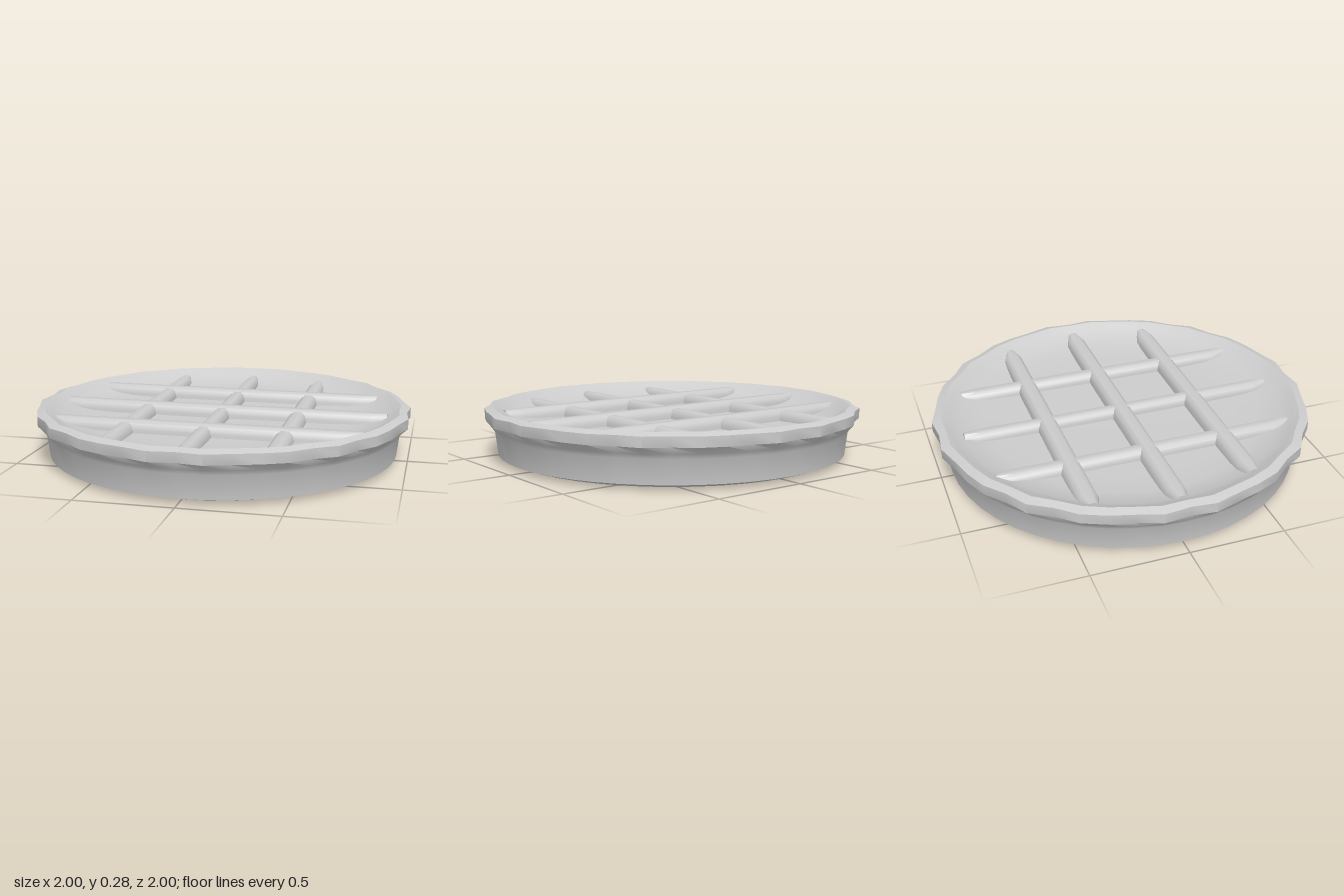
import * as THREE from 'three';
import { toCreasedNormals } from 'three/addons/utils/BufferGeometryUtils.js';

const crust = new THREE.MeshStandardMaterial({ color: 0xcccccc });
crust.name = 'plain grey crust';

// Dish, crimped rim and shallow filling as one turned profile: [radius, height, crimp amount]
function dish() {
  const profile = [
    [0, 0, 0], [0.88, 0.004, 0], [0.94, 0.025, 0], [0.955, 0.15, 0], [0.97, 0.175, 0.2],
    [0.999, 0.21, 1], [0.999, 0.262, 1], [0.955, 0.276, 0.6], [0.92, 0.258, 0.2],
    [0.86, 0.222, 0], [0.74, 0.201, 0], [0.6, 0.195, 0], [0, 0.193, 0],
  ];
  const segments = 48;
  const geometry = new THREE.LatheGeometry(profile.map(([r, y]) => new THREE.Vector2(r, y)), segments);
  const pos = geometry.attributes.position;
  for (let i = 0; i < pos.count; i++) {
    const [r, y, crimp] = profile[i % profile.length];
    const angle = (Math.floor(i / profile.length) % segments) / segments * Math.PI * 2;
    const radius = r - 0.012 * crimp * Math.cos(20 * angle);
    pos.setXYZ(i, radius * Math.sin(angle), y, radius * Math.cos(angle));
  }
  return toCreasedNormals(geometry, 0.62);
}

// Lattice strip along z with a rounded top and tapered, blunt ends
function strip(halfWidth, top, halfLength) {
  const side = [[1, 0.16], [1, top - 0.04], [0.8, top - 0.014], [0.4, top]];
  const right = side.map(([w, y]) => new THREE.Vector2(w * halfWidth, y));
  const left = side.map(([w, y]) => new THREE.Vector2(-w * halfWidth, y)).reverse();
  const geometry = new THREE.ExtrudeGeometry(new THREE.Shape([...right, ...left]), {
    depth: halfLength * 2, steps: 3, bevelEnabled: false,
  });
  geometry.translate(0, 0, -halfLength);
  const pos = geometry.attributes.position;
  for (let i = 0; i < pos.count; i++) {
    const z = pos.getZ(i);
    if (Math.abs(z) > halfLength * 0.9) pos.setX(i, pos.getX(i) * 0.6);
    else pos.setZ(i, Math.sign(z) * (halfLength - 0.08));
  }
  return toCreasedNormals(geometry, 0.85);
}

export function createModel() {
  const group = new THREE.Group();
  group.name = 'latticePie';
  const add = (name, geometry) => {
    const mesh = new THREE.Mesh(geometry, crust);
    mesh.name = name;
    group.add(mesh);
    return mesh;
  };

  add('dish', dish());

  // Three upper strips across, three slightly lower strips front to back
  for (const offset of [-0.415, 0, 0.415]) {
    const across = add('crossStrip', strip(0.055, 0.254, offset ? 0.8 : 0.885));
    across.rotation.y = Math.PI / 2;
    across.position.z = offset;
    const along = add('lengthStrip', strip(offset ? 0.049 : 0.044, 0.246, offset ? 0.79 : 0.86));
    along.position.x = offset;
  }
  return group;
}
